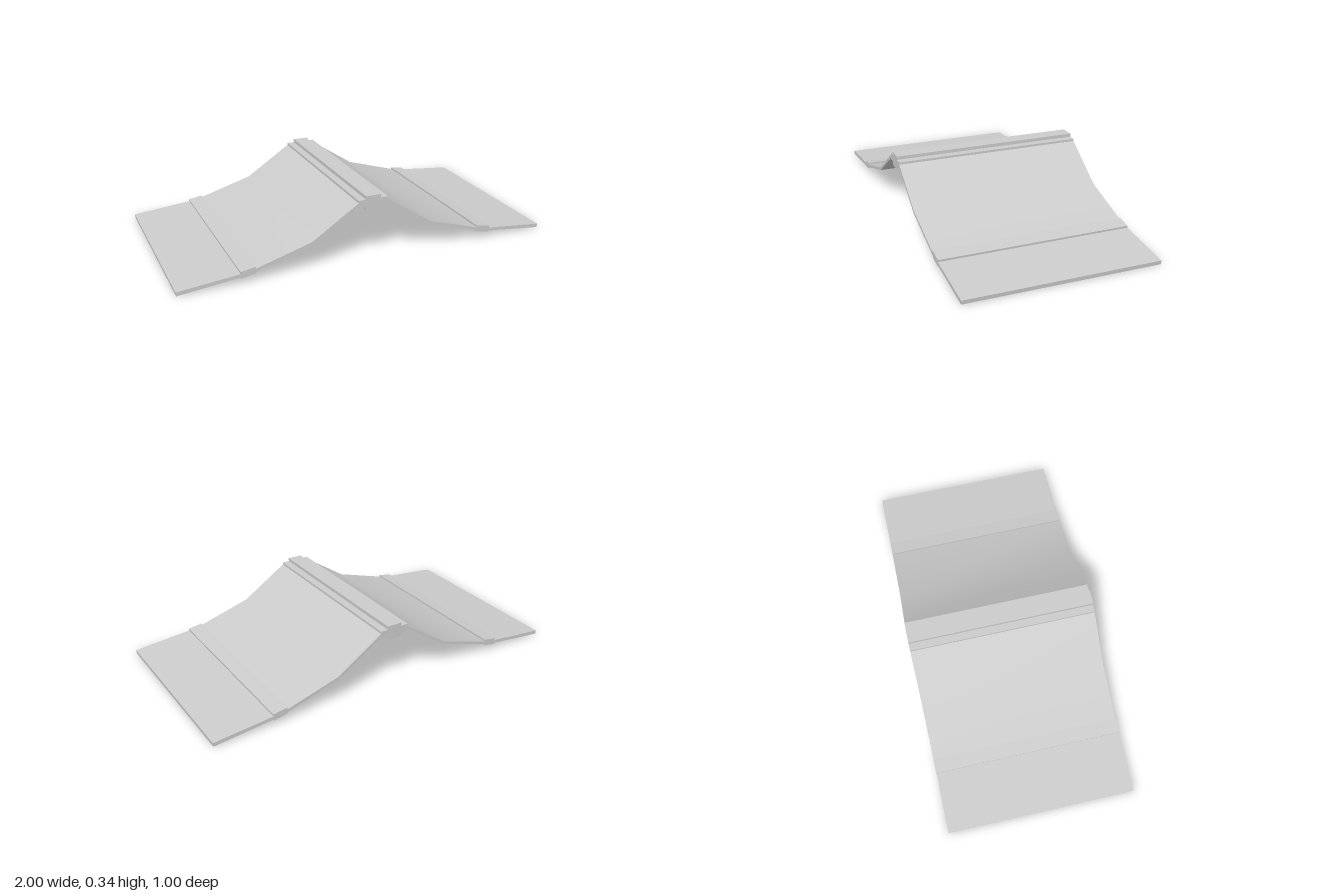
import * as THREE from 'three';
import { toCreasedNormals } from 'three/addons/utils/BufferGeometryUtils.js';

const DEPTH = 1;
const material = new THREE.MeshStandardMaterial({ color: 0xcccccc });

// Extrude an x/y cross-section along z; gentle bends stay smooth, edges stay sharp
function strip(name, points, side = 1) {
  const shape = new THREE.Shape(points.map(([x, y]) => new THREE.Vector2(x * side, y)));
  const geometry = new THREE.ExtrudeGeometry(shape, { depth: DEPTH, bevelEnabled: false });
  geometry.translate(0, 0, -DEPTH / 2);
  const mesh = new THREE.Mesh(toCreasedNormals(geometry, 0.5), material);
  mesh.name = name;
  return mesh;
}

export function createModel() {
  const model = new THREE.Group();
  model.name = 'foldedRoof';

  // Ridge beam with a stepped cross-section
  model.add(strip('ridgeBeam', [
    [-0.04, 0.267], [0.04, 0.267], [0.04, 0.287], [0.08, 0.287], [0.08, 0.325], [0.04, 0.325],
    [0.04, 0.343], [-0.04, 0.343], [-0.04, 0.325], [-0.08, 0.325], [-0.08, 0.287], [-0.04, 0.287],
  ]));

  for (const [prefix, side] of [['left', 1], ['right', -1]]) {
    // Bent slope from the ridge down to the joint
    model.add(strip(prefix + 'InnerPanel', [
      [0.075, 0.316], [0.325, 0.151], [0.62, 0.062],
      [0.62, 0.046], [0.32, 0.137], [0.075, 0.298],
    ], side));

    // Thicker joint bar between the two panels
    model.add(strip(prefix + 'JointBar', [
      [0.612, 0.041], [0.685, 0.027], [0.688, 0.062], [0.612, 0.075],
    ], side));

    // Shallow outer panel
    model.add(strip(prefix + 'OuterPanel', [
      [0.68, 0.035], [0.998, 0], [1, 0.02], [0.68, 0.052],
    ], side));
  }
  return model;
}
